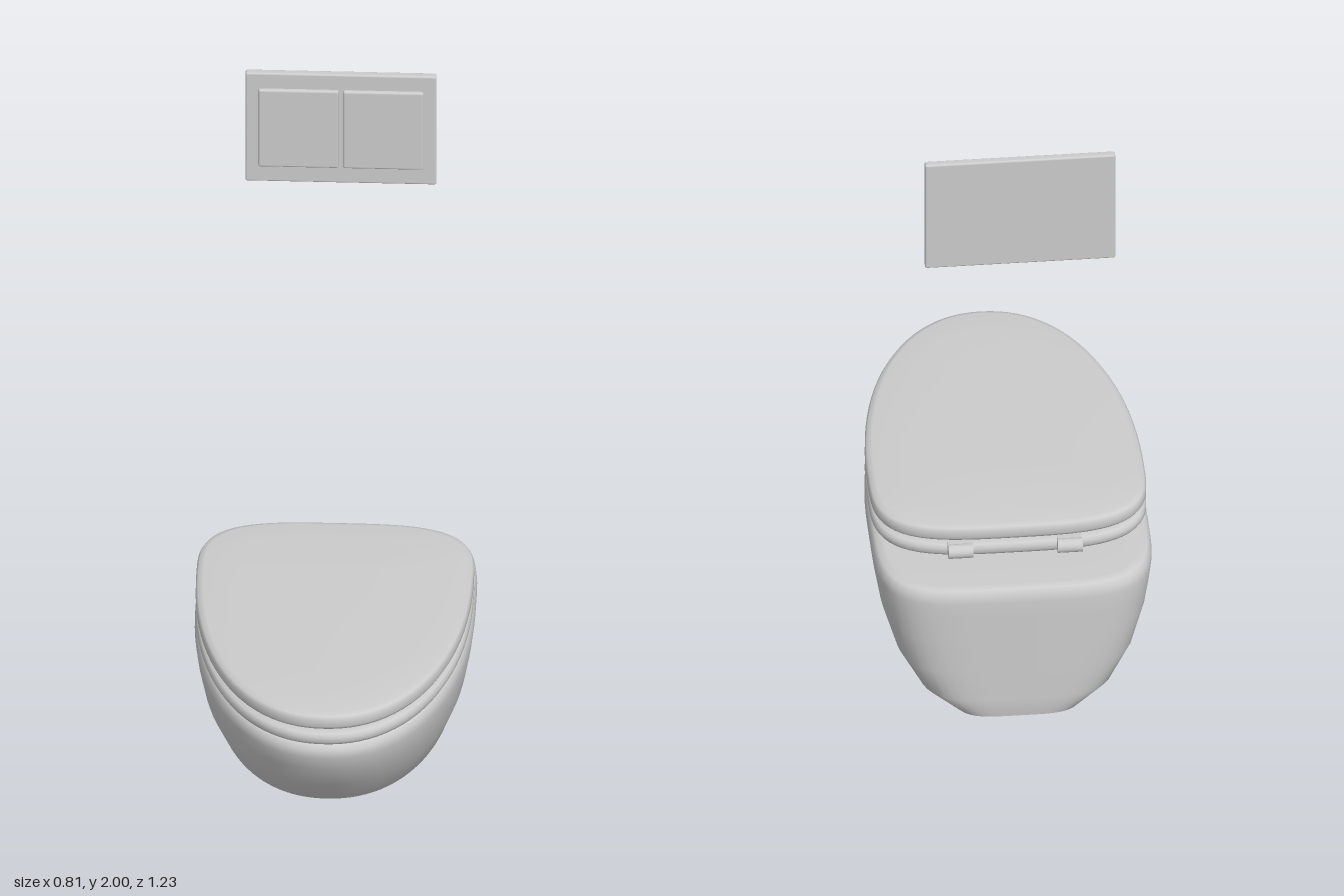
import * as THREE from 'three';
import { RoundedBoxGeometry } from 'three/addons/geometries/RoundedBoxGeometry.js';

const SEG = 96;
const grey = new THREE.MeshStandardMaterial({ color: 0xcccccc });

// Egg-shaped outline: half-width w, front z f, back z b, widest at z c, back squareness n
function outlinePoint(t, { w, f, b, c, n }) {
  const cx = Math.cos(t), sz = Math.sin(t);
  const p = sz >= 0 ? 2.15 : n;
  const r = Math.pow(Math.abs(cx) ** p + Math.abs(sz) ** p, -1 / p);
  return [cx * r * w, c + sz * r * (sz >= 0 ? f - c : c - b)];
}

// Skin a stack of outlines; either capped at both ends or closed into a ring
function loft(rings, closed = false) {
  const pos = [], idx = [];
  for (const ring of rings) {
    for (let i = 0; i < SEG; i++) {
      const [x, z] = outlinePoint((i / SEG) * Math.PI * 2, ring);
      pos.push(x, ring.y, z);
    }
  }
  const n = rings.length;
  for (let j = 0; j < (closed ? n : n - 1); j++) {
    const k = (j + 1) % n;
    for (let i = 0; i < SEG; i++) {
      const i2 = (i + 1) % SEG;
      const a = j * SEG + i, b = j * SEG + i2, c = k * SEG + i, d = k * SEG + i2;
      idx.push(a, c, b, b, c, d);
    }
  }
  if (!closed) {
    const first = rings[0], last = rings[n - 1], base = n * SEG, top = (n - 1) * SEG;
    pos.push(0, first.y, first.c, 0, last.y + (last.dome || 0), last.c);
    for (let i = 0; i < SEG; i++) {
      const i2 = (i + 1) % SEG;
      idx.push(base, i, i2, base + 1, top + i2, top + i);
    }
  }
  const g = new THREE.BufferGeometry();
  g.setAttribute('position', new THREE.Float32BufferAttribute(pos, 3));
  g.setIndex(idx);
  g.computeVertexNormals();
  return g;
}

const inset = (o, d, y) => ({ ...o, w: o.w - d, f: o.f - d, b: o.b + d, y });

export function createModel() {
  const model = new THREE.Group();
  const add = (name, geometry, x = 0, y = 0, z = 0) => {
    const mesh = new THREE.Mesh(geometry, grey);
    mesh.name = name;
    mesh.position.set(x, y, z);
    model.add(mesh);
    return mesh;
  };

  // Wall-hung bowl: flat back, tapering to a small base, with a hollow basin
  const shell = [ // y, half-width, front, back, widest z
    [0, 0.18, -0.04, -0.6, -0.32],
    [0.003, 0.2, 0, -0.612, -0.32],
    [0.065, 0.29, 0.26, -0.613, -0.28],
    [0.165, 0.35, 0.43, -0.613, -0.24],
    [0.28, 0.386, 0.54, -0.613, -0.21],
    [0.36, 0.4, 0.583, -0.613, -0.2],
    [0.41, 0.406, 0.604, -0.613, -0.2],
    [0.435, 0.403, 0.601, -0.609, -0.2],
    [0.449, 0.393, 0.59, -0.598, -0.2],
    [0.455, 0.372, 0.568, -0.578, -0.2],
    [0.455, 0.29, 0.47, -0.34, -0.1],
    [0.445, 0.275, 0.455, -0.325, -0.1],
    [0.3, 0.23, 0.37, -0.28, -0.1],
    [0.17, 0.13, 0.15, -0.22, -0.1],
    [0.14, 0.06, 0.0, -0.17, -0.1],
  ].map(([y, w, f, b, c]) => ({ y, w, f, b, c, n: 4.5 }));
  add('bowl', loft(shell));

  // Seat ring and lid share one outline
  const outline = { w: 0.402, f: 0.617, b: -0.448, c: -0.17, n: 3.4 };
  const edge = (y0, y1) => [
    inset(outline, 0.022, y0), inset(outline, 0.006, y0 + 0.006),
    inset(outline, 0, y0 + 0.016), inset(outline, 0, y1 - 0.016),
    inset(outline, 0.006, y1 - 0.006), inset(outline, 0.022, y1),
  ];
  add('seat', loft([
    ...edge(0.459, 0.505),
    inset(outline, 0.11, 0.505), inset(outline, 0.125, 0.495),
    inset(outline, 0.125, 0.468), inset(outline, 0.11, 0.459),
  ], true));
  add('lid', loft([
    inset(outline, 0.06, 0.512),
    ...edge(0.512, 0.565),
    inset(outline, 0.1, 0.569),
    { ...inset(outline, 0.22, 0.573), dome: 0.002 },
  ]));

  // Hinge barrels
  for (const side of [-1, 1]) {
    const hinge = new THREE.CylinderGeometry(0.021, 0.021, 0.072, 24).rotateZ(Math.PI / 2);
    add(side > 0 ? 'leftHinge' : 'rightHinge', hinge, side * 0.159, 0.491, -0.457);
    add(side > 0 ? 'leftHingeArm' : 'rightHingeArm',
      new THREE.BoxGeometry(0.07, 0.03, 0.06), side * 0.159, 0.491, -0.425);
  }

  // Flush plate with two buttons
  add('flushPlate', new RoundedBoxGeometry(0.554, 0.37, 0.024, 3, 0.006), 0, 1.815, -0.602);
  for (const side of [-1, 1]) {
    add(side > 0 ? 'leftButton' : 'rightButton',
      new RoundedBoxGeometry(0.234, 0.264, 0.024, 3, 0.007), side * 0.123, 1.817, -0.592);
  }
  return model;
}
